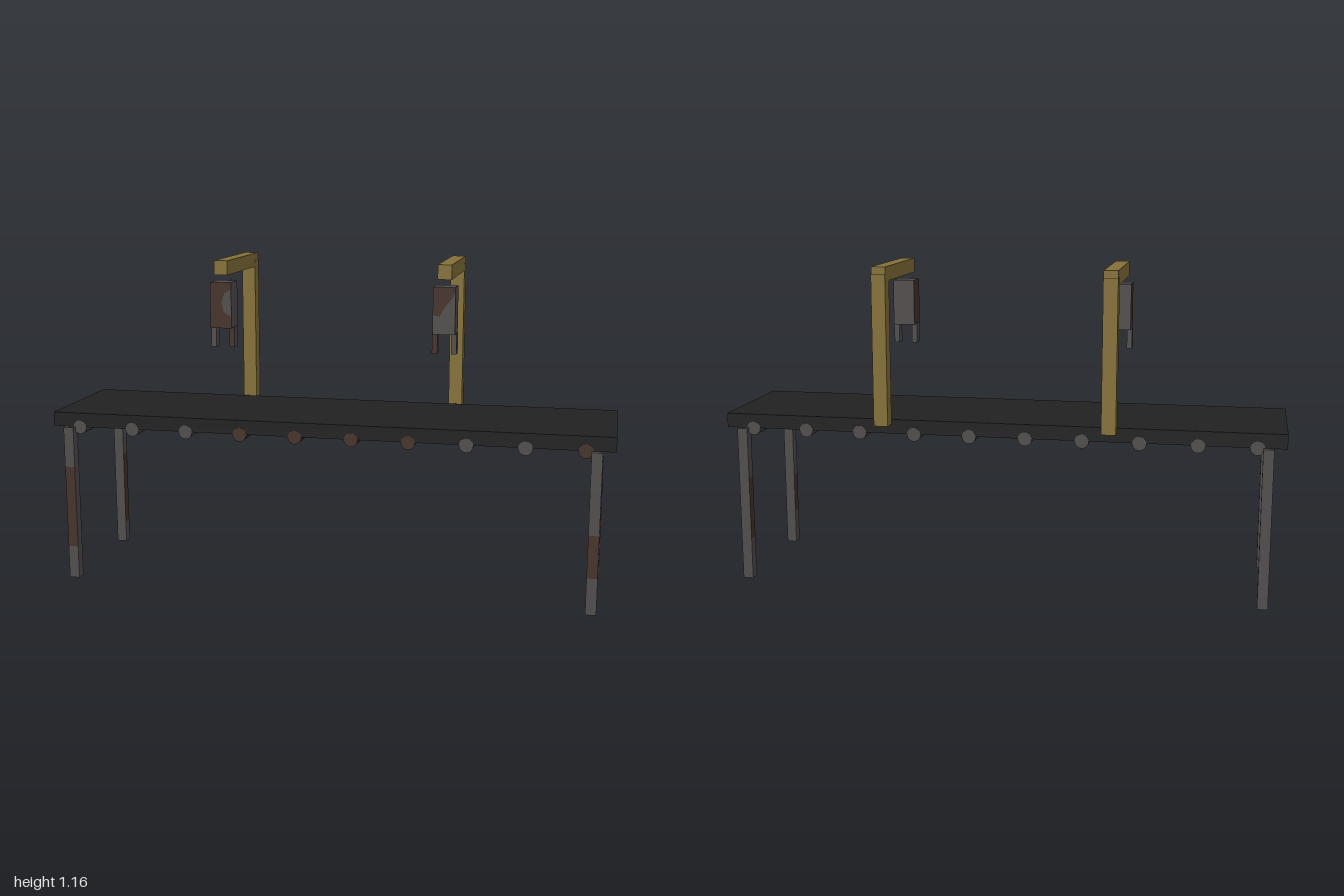
import * as THREE from 'three';

const mat = (name, color) => {
  const m = new THREE.MeshStandardMaterial({ color });
  m.name = name;
  return m;
};

export function createModel() {
  const steel = mat('steel grey', 0x524e4e);
  const rust = mat('rust brown', 0x46342b);
  const belt = mat('belt black', 0x222222);
  const paint = mat('ochre paint', 0x86723a);

  const model = new THREE.Group();
  model.name = 'conveyorStation';

  // Box given by its limits on each axis
  const box = (parent, name, material, [x0, x1], [y0, y1], [z0, z1]) => {
    const mesh = new THREE.Mesh(new THREE.BoxGeometry(x1 - x0, y1 - y0, z1 - z0), material);
    mesh.position.set((x0 + x1) / 2, (y0 + y1) / 2, (z0 + z1) / 2);
    mesh.name = name;
    parent.add(mesh);
    return mesh;
  };
  // Material list for a steel box whose listed faces are rusty
  const FACES = ['+x', '-x', '+y', '-y', '+z', '-z'];
  const rusty = (faces) => FACES.map((f) => (faces.includes(f) ? rust : steel));

  // Conveyor bed
  box(model, 'bed', belt, [-1, 1], [0.566, 0.617], [-0.205, 0.26]);

  // Legs, stacked in sections: [top of section, rusty faces]
  const legs = [
    { x: 0.937, z: 0.2615, parts: [[0.13, ''], [0.28, '+z -x'], [0.43, ''], [0.566, '+x']] },
    { x: -0.937, z: 0.2615, parts: [[0.12, ''], [0.42, '+z -x'], [0.566, '']] },
    { x: 0.937, z: -0.206, parts: [[0.15, ''], [0.38, '-x +z'], [0.566, '']] },
    { x: -0.937, z: -0.206, parts: [[0.08, ''], [0.36, '-x +x'], [0.566, '']] },
  ];
  for (const { x, z, parts } of legs) {
    const leg = new THREE.Group();
    leg.name = 'leg';
    let y = 0;
    for (const [top, faces] of parts) {
      box(leg, 'legSection', rusty(faces), [x - 0.0185, x + 0.0185], [y, top], [z - 0.0185, z + 0.0185]);
      y = top;
    }
    model.add(leg);
  }

  // Rollers under the bed, each with one rusty stretch along z
  const rustSpans = [null, [-0.1, 0.2], [-0.05, 0.2], [-0.1, 0.261], [-0.12, 0.261],
    [-0.08, 0.261], [-0.05, 0.261], null, null, [0, 0.261]];
  rustSpans.forEach((span, i) => {
    const roller = new THREE.Group();
    roller.name = 'roller';
    const stops = span ? [-0.206, ...span, 0.261] : [-0.206, 0.261];
    for (let k = 0; k + 1 < stops.length; k++) {
      const length = stops[k + 1] - stops[k];
      if (length < 0.001) continue;
      const geo = new THREE.CylinderGeometry(0.025, 0.025, length, 16).rotateX(Math.PI / 2);
      const mesh = new THREE.Mesh(geo, k === 1 ? rust : steel);
      mesh.name = 'rollerSection';
      mesh.position.set(-0.9 + 0.2 * i, 0.565, (stops[k] + stops[k + 1]) / 2);
      roller.add(mesh);
    }
    model.add(roller);
  });

  // Thin stain with a curved edge on the front of a gripper body
  const stain = (parent, material, points) => {
    const shape = new THREE.Shape(points.map(([x, y]) => new THREE.Vector2(x, y)));
    const geo = new THREE.ExtrudeGeometry(shape, { depth: 0.001, bevelEnabled: false });
    const mesh = new THREE.Mesh(geo, material);
    mesh.name = 'stain';
    mesh.position.z = 0.133;
    parent.add(mesh);
  };

  // Overhead arms with their grippers
  for (const side of [-1, 1]) {
    const arm = new THREE.Group();
    arm.name = 'gantryArm';
    arm.position.x = side * 0.4;
    box(arm, 'post', paint, [-0.025, 0.025], [0.606, 1.137], [-0.277, -0.226]);
    box(arm, 'beam', paint, [-0.0245, 0.0245], [1.112, 1.163], [-0.272, 0.127]);

    const gripper = new THREE.Group();
    gripper.name = 'gripper';
    box(gripper, 'gripperBody', rusty(side < 0 ? '+z -x' : '-x'), [-0.039, 0.039], [0.923, 1.087], [0.056, 0.133]);
    for (const s of [-1, 1]) {
      const x = s * 0.0335;
      box(gripper, 'finger', s * side < 0 ? rusty('+z') : steel,
        [x - 0.0095, x + 0.0095], [0.853, 0.926], [0.077, 0.114]);
    }
    if (side < 0) {
      stain(gripper, steel, [[0.038, 0.965], [0.038, 1.06], [0.015, 1.05], [0.003, 1.015], [0.012, 0.98]]);
    } else {
      stain(gripper, rust, [[-0.038, 0.99], [-0.015, 0.985], [0.004, 1.02], [0.03, 1.05], [0.038, 1.086], [-0.038, 1.086]]);
    }
    arm.add(gripper);
    model.add(arm);
  }

  return model;
}
